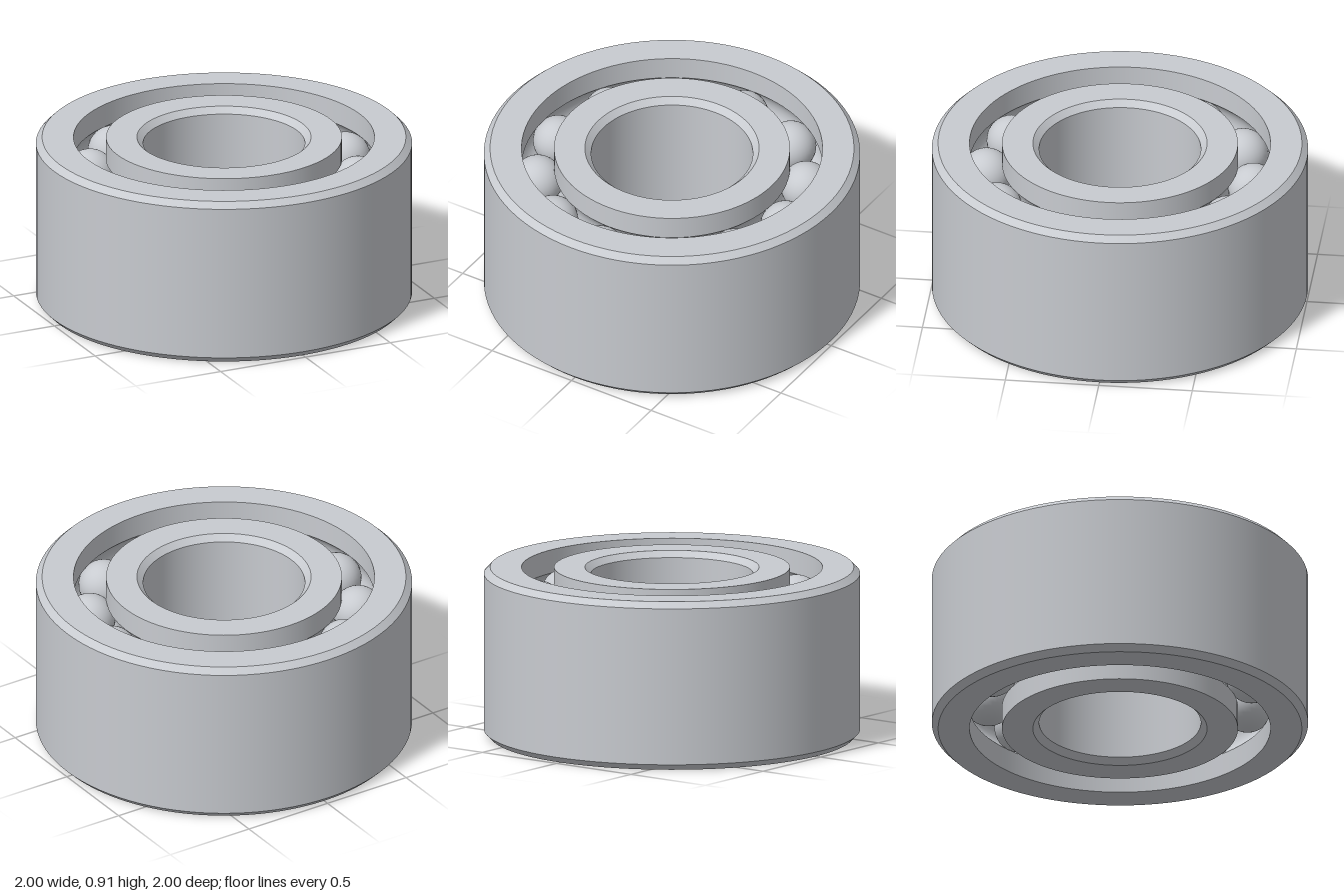
import * as THREE from 'three';
import { mergeGeometries } from 'three/addons/utils/BufferGeometryUtils.js';

const HEIGHT = 0.91, CHAMFER = 0.033, SEGMENTS = 96;
const PITCH = 0.714, BALL = 0.135, BALLS = 12;
const ROWS = [0.23, 0.68];

// Circular groove profile around each ball row, from y low to high, cut into a shoulder of radius r
function grooves(r) {
  const side = Math.sign(r - PITCH);
  const a = Math.acos(Math.abs(r - PITCH) / BALL);
  return ROWS.map((y) => {
    const points = [];
    for (let i = 0; i <= 10; i++) {
      const t = -a + (2 * a * i) / 10;
      points.push([PITCH + side * BALL * Math.cos(t), y + BALL * Math.sin(t)]);
    }
    return points;
  });
}

// Each strip is revolved on its own, so edges between strips stay sharp
function revolve(strips) {
  return mergeGeometries(strips.map((strip) =>
    new THREE.LatheGeometry(strip.map(([r, y]) => new THREE.Vector2(r, y)), SEGMENTS)));
}

// Closed loop of corners and curved grooves, counter-clockwise in (radius, y)
function ring(pieces) {
  const strips = [];
  pieces.forEach((piece, i) => {
    if (piece.length > 1) strips.push(piece);
    const next = pieces[(i + 1) % pieces.length];
    strips.push([piece[piece.length - 1], next[0]]);
  });
  return revolve(strips);
}

export function createModel() {
  const model = new THREE.Group();
  const steel = new THREE.MeshStandardMaterial({ color: 0xc8cbd0 });
  steel.name = 'steel';
  const add = (name, geometry, parent = model) => {
    const mesh = new THREE.Mesh(geometry, steel);
    mesh.name = name;
    parent.add(mesh);
    return mesh;
  };

  // Outer ring: chamfered outside, two raceways inside (walked downwards)
  const outerGrooves = grooves(0.8).reverse().map((g) => g.reverse());
  add('outerRing', ring([
    [[0.8, 0]], [[1 - CHAMFER, 0]], [[1, CHAMFER]],
    [[1, HEIGHT - CHAMFER]], [[1 - CHAMFER, HEIGHT]], [[0.8, HEIGHT]],
    ...outerGrooves,
  ]));

  // Inner ring: two raceways outside, chamfered bore
  const bore = 0.43;
  add('innerRing', ring([
    [[bore + CHAMFER, 0]], [[0.627, 0]], ...grooves(0.627), [[0.627, HEIGHT]],
    [[bore + CHAMFER, HEIGHT]], [[bore, HEIGHT - CHAMFER]], [[bore, CHAMFER]],
  ]));

  // Two aligned rows of balls
  const ballGeometry = new THREE.SphereGeometry(BALL, 32, 20);
  ROWS.forEach((y, row) => {
    const group = new THREE.Group();
    group.name = row ? 'upperBallRow' : 'lowerBallRow';
    for (let i = 0; i < BALLS; i++) {
      const a = (i / BALLS) * Math.PI * 2;
      add('ball', ballGeometry, group).position.set(PITCH * Math.cos(a), y, PITCH * Math.sin(a));
    }
    model.add(group);
  });
  return model;
}
